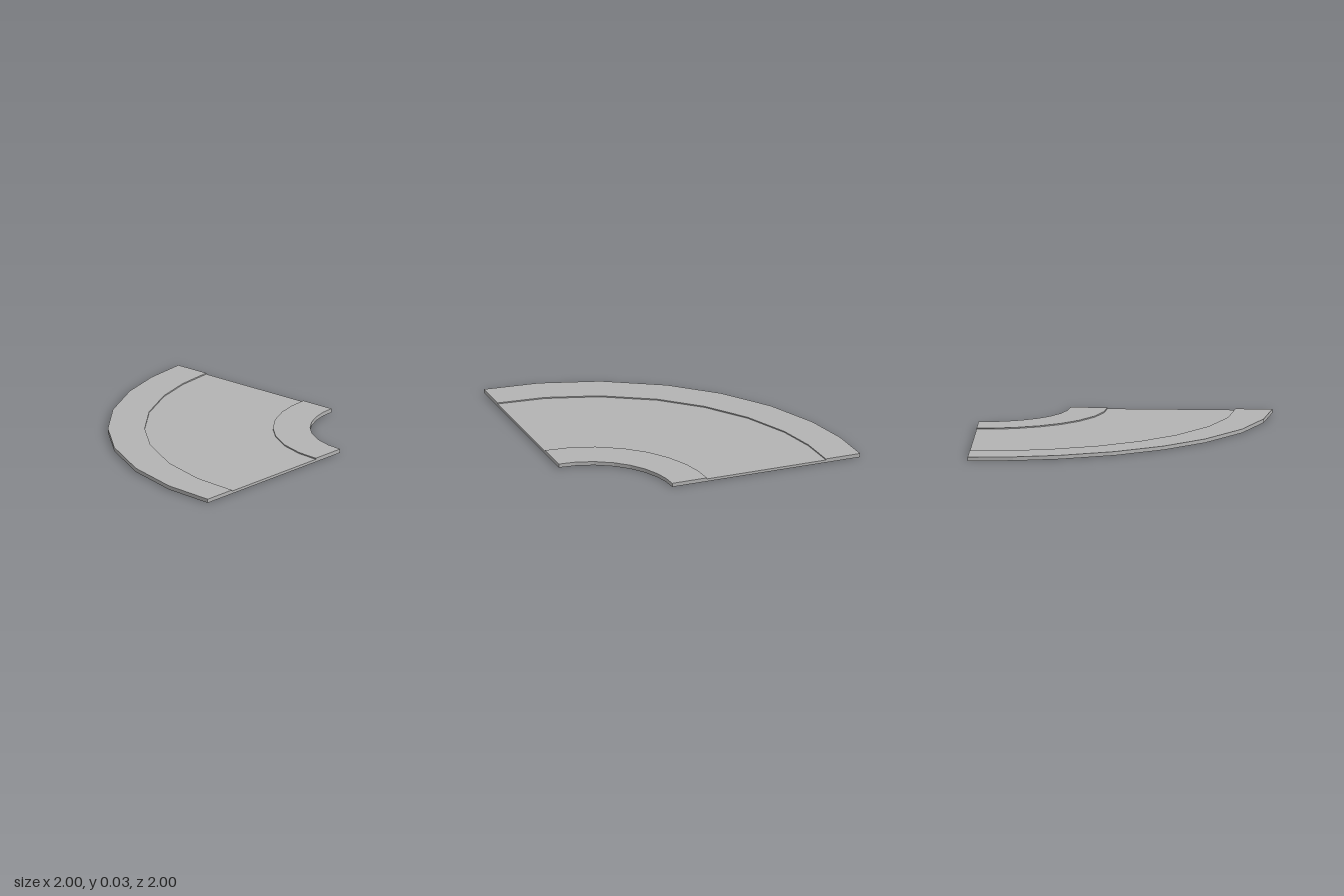
import * as THREE from 'three';

// Facet angles of the quarter turn, in degrees
const ANGLES = [0, 11.25, 23.6, 36.9, 48.4, 60, 71.6, 81, 90];

// Flat curved slab between two radii, swept about the corner (1, 1)
function curvedSlab(inner, outer, height) {
  const point = (r, deg) => {
    const a = THREE.MathUtils.degToRad(deg);
    return new THREE.Vector2(1 - r * Math.cos(a), r * Math.sin(a) - 1);
  };
  const outline = [
    ...ANGLES.map((a) => point(outer, a)),
    ...[...ANGLES].reverse().map((a) => point(inner, a)),
  ];
  const geometry = new THREE.ExtrudeGeometry(new THREE.Shape(outline), {
    depth: height,
    bevelEnabled: false,
  });
  return geometry.rotateX(-Math.PI / 2);
}

export function createModel() {
  const group = new THREE.Group();
  group.name = 'curvedRoad';
  const concrete = new THREE.MeshStandardMaterial({ color: 0xb3b3b3 });
  concrete.name = 'concrete grey';

  // Raised pavements either side of a slightly lower roadway
  const parts = [
    ['innerPavement', 0.602, 0.86, 0.027],
    ['roadway', 0.86, 1.745, 0.019],
    ['outerPavement', 1.745, 2, 0.027],
  ];
  for (const [name, inner, outer, height] of parts) {
    const mesh = new THREE.Mesh(curvedSlab(inner, outer, height), concrete);
    mesh.name = name;
    group.add(mesh);
  }
  return group;
}
